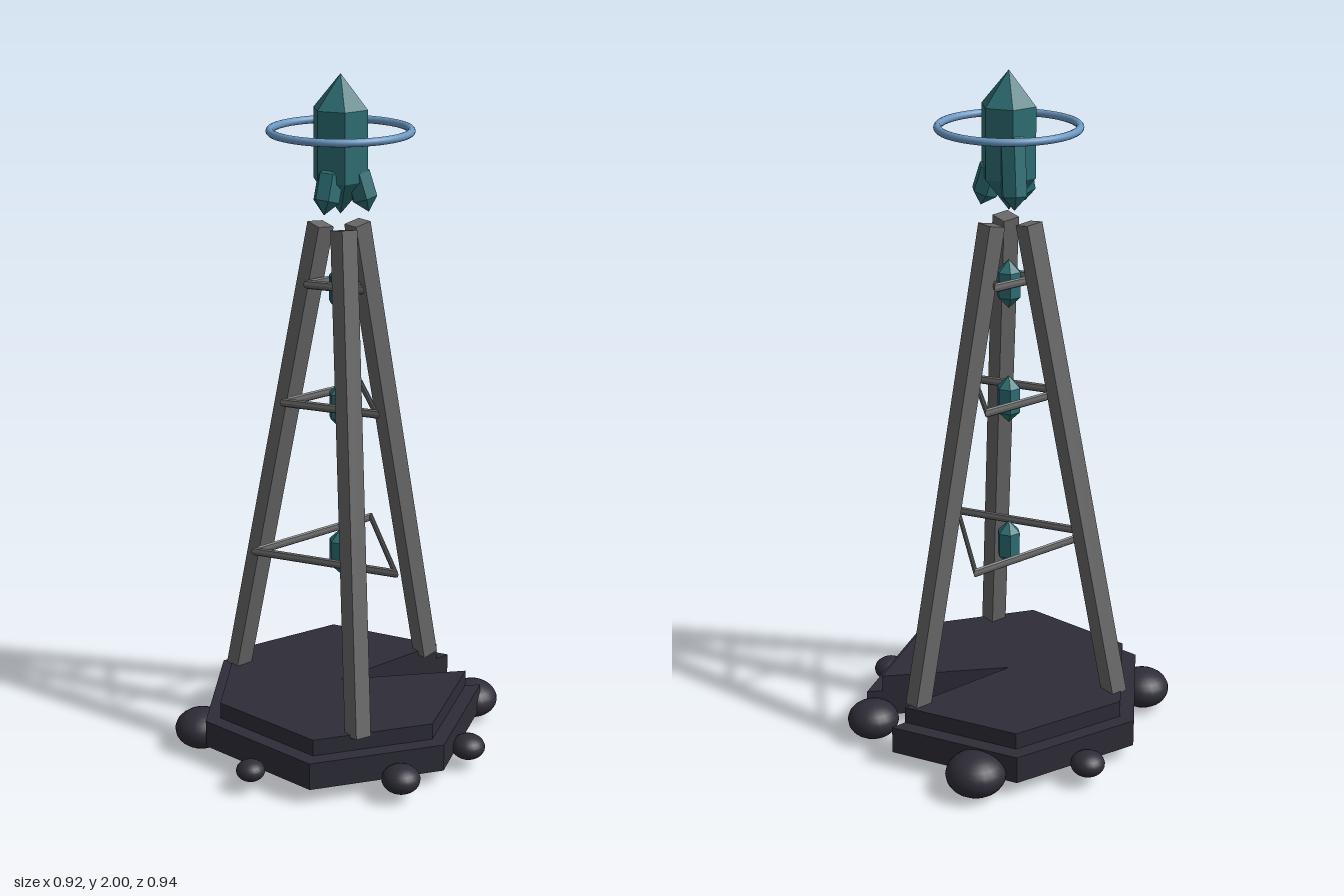
import * as THREE from 'three';

export function createModel() {
  const model = new THREE.Group();
  const mat = (name, color, flat) => {
    const m = new THREE.MeshStandardMaterial({ color, flatShading: flat });
    m.name = name;
    return m;
  };
  const stone = mat('darkStone', 0x2e2d38, false);
  const steel = mat('greySteel', 0x686868, true);
  const crystal = mat('tealCrystal', 0x2d6e74, true);
  const halo = mat('blueRing', 0x6c99c4, false);

  const add = (name, geometry, material, x = 0, y = 0, z = 0) => {
    const mesh = new THREE.Mesh(geometry, material);
    mesh.name = name;
    mesh.position.set(x, y, z);
    model.add(mesh);
    return mesh;
  };

  // Broken base: two stepped slabs, with a wedge missing
  const slab = (name, r, y, h) => {
    const pts = [new THREE.Vector2(0, 0)];
    for (let i = 0; i <= 6; i++) {
      const a = THREE.MathUtils.degToRad(i * 55);
      pts.push(new THREE.Vector2(r * Math.cos(a), r * Math.sin(a)));
    }
    const g = new THREE.ExtrudeGeometry(new THREE.Shape(pts), { depth: h, bevelEnabled: false });
    add(name, g.rotateX(-Math.PI / 2), stone, 0, y, 0);
  };
  slab('lowerSlab', 0.433, 0.047, 0.083);
  slab('upperSlab', 0.386, 0.13, 0.05);

  // Squashed boulders around the base: x, z, radius
  [
    [0.04, -0.42, 0.05], [0.325, -0.262, 0.088], [-0.38, -0.19, 0.08],
    [-0.415, 0.108, 0.042], [-0.108, 0.413, 0.056], [0.168, 0.392, 0.05],
    [0.385, 0.17, 0.077],
  ].forEach(([x, z, r]) => {
    add('boulder', new THREE.SphereGeometry(r, 20, 14), stone, x, 0.064, z).scale.y = 0.72;
  });

  // Three leaning legs
  const up = new THREE.Vector3(0, 1, 0);
  for (let i = 0; i < 3; i++) {
    const a = (i * Math.PI * 2) / 3;
    const at = (r, y) => new THREE.Vector3(r * Math.cos(a), y, r * Math.sin(a));
    const bottom = at(0.338, 0.17), top = at(0.06, 1.58);
    const dir = top.clone().sub(bottom);
    const leg = add('leg', new THREE.BoxGeometry(0.053, dir.length(), 0.053), steel);
    leg.position.copy(bottom).add(top).multiplyScalar(0.5);
    leg.quaternion.setFromUnitVectors(up, dir.normalize());
  }

  // Triangular braces
  [[0.615, 0.252], [1.07, 0.163], [1.415, 0.093]].forEach(([y, r]) => {
    const g = new THREE.TorusGeometry(r, 0.013, 8, 3).rotateZ(Math.PI / 2).rotateX(Math.PI / 2);
    add('triangleBrace', g, steel, 0, y, 0);
  });

  // Hexagonal crystal pointed at both ends
  const gem = (r, h, tip) => {
    const profile = [[0, -h / 2], [r, -h / 2 + tip], [r, h / 2 - tip], [0, h / 2]];
    return new THREE.LatheGeometry(profile.map((p) => new THREE.Vector2(...p)), 6).rotateY(Math.PI / 2);
  };
  [0.6, 1.055, 1.4].forEach((y) => add('smallCrystal', gem(0.035, 0.143, 0.035), crystal, 0, y, 0));
  add('mainCrystal', gem(0.08, 0.386, 0.095), crystal, 0, 1.807, 0);

  // Shards fanning out below the main crystal: angle, offset, y, height, tilt
  [
    [-63, 0.062, 1.745, 0.23, 0.17],
    [163, 0.058, 1.695, 0.15, 0.3],
    [52, 0.058, 1.695, 0.15, 0.3],
  ].forEach(([deg, r, y, h, tilt]) => {
    const a = THREE.MathUtils.degToRad(deg);
    const out = new THREE.Vector3(Math.cos(a), 0, Math.sin(a));
    const shard = add('crystalShard', gem(0.038, h, 0.038), crystal, out.x * r, y, out.z * r);
    const axis = out.multiplyScalar(-Math.sin(tilt)).setY(Math.cos(tilt));
    shard.quaternion.setFromUnitVectors(up, axis);
  });

  // Floating ring
  add('floatingRing', new THREE.TorusGeometry(0.194, 0.011, 12, 64).rotateX(Math.PI / 2), halo, 0, 1.845, 0);

  return model;
}
